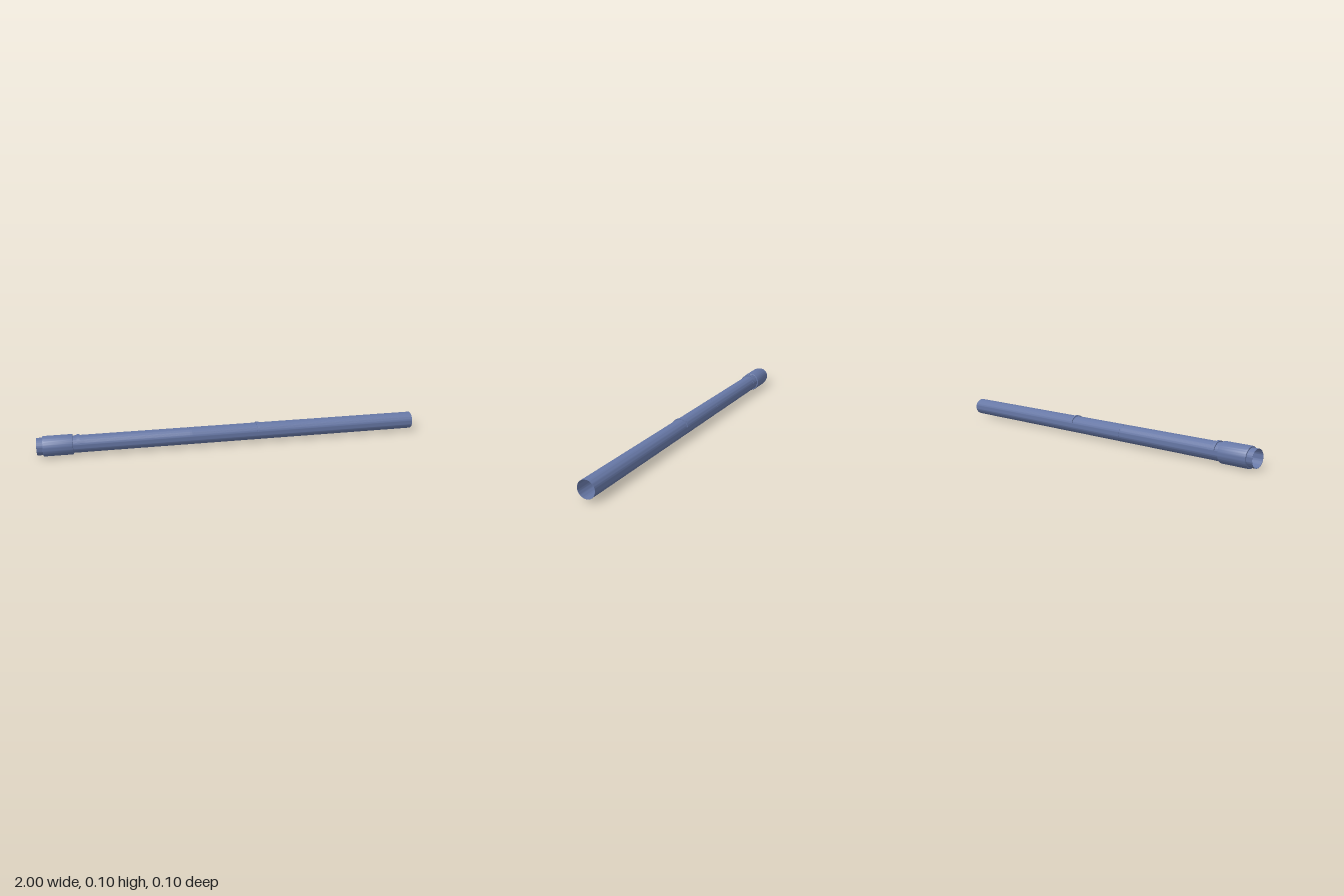
import * as THREE from 'three';
import { toCreasedNormals } from 'three/addons/utils/BufferGeometryUtils.js';

const SEGMENTS = 64;
const AXIS_Y = 0.052;
const R_OUT = 0.0445, R_IN = 0.0435;

const material = new THREE.MeshStandardMaterial({ color: 0x6677a5, side: THREE.DoubleSide });

function addMesh(group, name, geometry) {
  const mesh = new THREE.Mesh(toCreasedNormals(geometry, 0.6), material);
  mesh.name = name;
  mesh.position.y = AXIS_Y;
  group.add(mesh);
}

// Revolves [x, radius] pairs around the long axis
function turned(profile) {
  const points = profile.map(([x, r]) => new THREE.Vector2(r, x));
  return new THREE.LatheGeometry(points, SEGMENTS).rotateZ(-Math.PI / 2);
}

// Closed section of a ring between two angles (degrees, 90 is the top)
function ringSection(x0, x1, rIn, rOut, from, to) {
  const a = THREE.MathUtils.degToRad(from), b = THREE.MathUtils.degToRad(to);
  const shape = new THREE.Shape();
  shape.absarc(0, 0, rOut, a, b, false);
  shape.absarc(0, 0, rIn, b, a, true);
  shape.closePath();
  const geometry = new THREE.ExtrudeGeometry(shape, { depth: x1 - x0, bevelEnabled: false, curveSegments: 32 });
  return geometry.rotateY(Math.PI / 2).translate(x0, 0, 0);
}

export function createModel() {
  const group = new THREE.Group();
  group.name = 'tube';

  // Hollow tube with a narrow joint groove
  addMesh(group, 'tubeBody', turned([
    [-1, R_IN], [-1, R_OUT],
    [-0.225, R_OUT], [-0.225, 0.0438], [-0.213, 0.0438], [-0.213, R_OUT],
    [1, R_OUT], [1, R_IN], [-1, R_IN],
  ]));

  // Wide collar near the end, with softened rims
  addMesh(group, 'collar', turned([
    [-0.97, R_OUT], [-0.97, 0.0495], [-0.967, 0.0515], [-0.962, 0.052],
    [-0.826, 0.052], [-0.822, 0.0515], [-0.82, 0.0495], [-0.82, R_OUT],
  ]));

  // Clip behind the collar: a band over the top with a tab on each side
  addMesh(group, 'collarClipBand', ringSection(-0.8, -0.786, 0.044, 0.0495, 15, 165));
  for (const [name, from] of [['collarClipTabRight', 15], ['collarClipTabLeft', 147]]) {
    addMesh(group, name, ringSection(-0.786, -0.76, 0.044, 0.048, from, from + 18));
  }

  // Thin clip along the middle of the tube
  addMesh(group, 'middleClipBand', ringSection(0.133, 0.147, 0.044, 0.0485, 15, 165));
  for (const [name, from] of [['middleClipTabRight', 15], ['middleClipTabLeft', 155]]) {
    addMesh(group, name, ringSection(0.13, 0.152, 0.044, 0.0495, from, from + 10));
  }

  return group;
}
